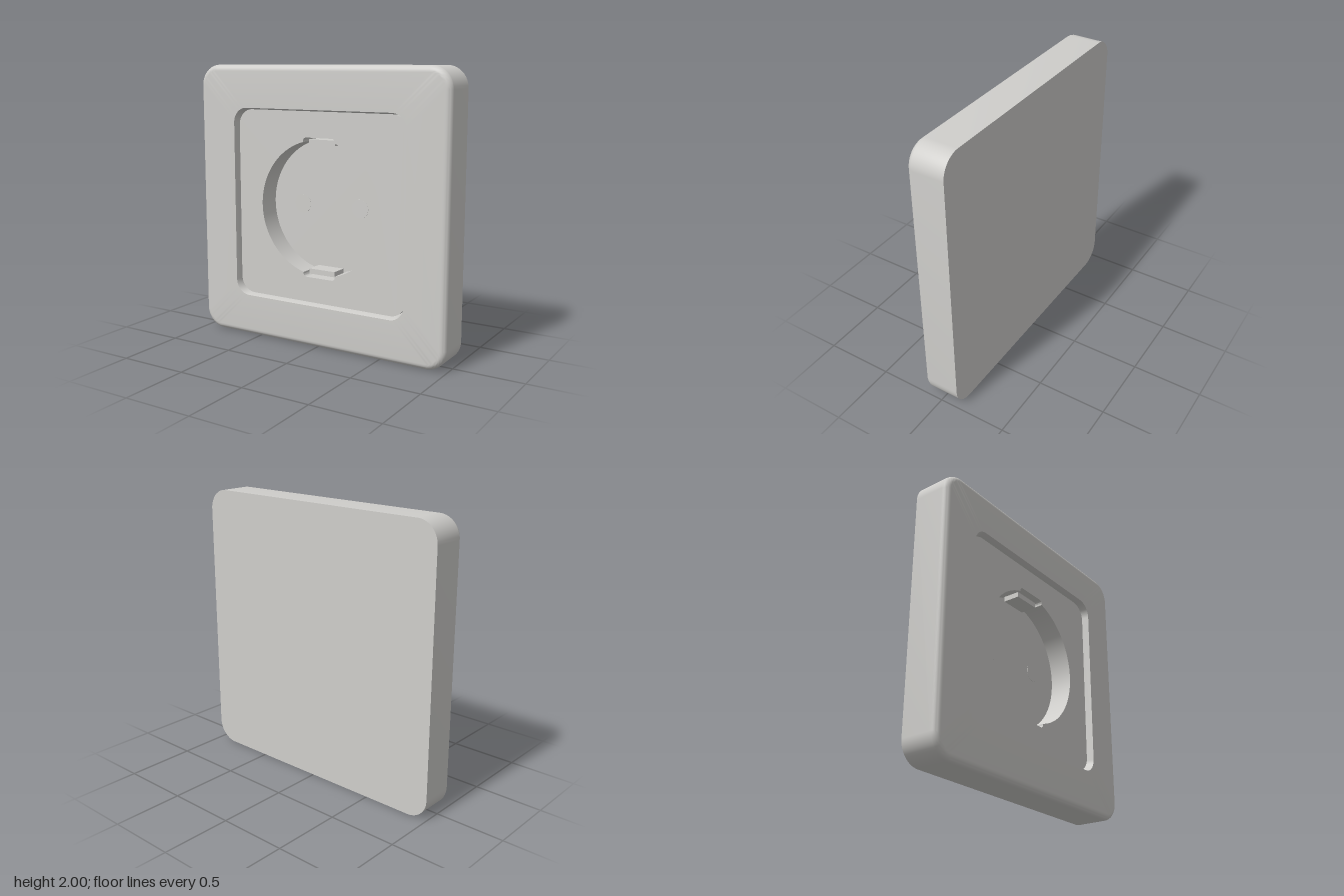
import * as THREE from 'three';
import { toCreasedNormals } from 'three/addons/utils/BufferGeometryUtils.js';

const CORNER_STEPS = 12;

// Counter-clockwise outline of a rounded square with half width h
function roundedSquare(h, r) {
  const pts = [];
  for (let q = 0; q < 4; q++) {
    const mid = Math.PI / 4 + q * Math.PI / 2;
    const cx = Math.sign(Math.cos(mid)) * (h - r);
    const cy = Math.sign(Math.sin(mid)) * (h - r);
    for (let i = 0; i <= CORNER_STEPS; i++) {
      const a = q * Math.PI / 2 + (i / CORNER_STEPS) * Math.PI / 2;
      pts.push(new THREE.Vector2(cx + r * Math.cos(a), cy + r * Math.sin(a)));
    }
  }
  return pts;
}

// Skin over rounded-square sections [half width, corner radius, z]
function loft(sections) {
  const pos = [], idx = [];
  const n = 4 * (CORNER_STEPS + 1);
  sections.forEach(([h, r, z], s) => {
    roundedSquare(h, r).forEach((p, i) => {
      pos.push(p.x, p.y, z);
      if (s === sections.length - 1) return;
      const a = s * n + i, b = s * n + (i + 1) % n;
      idx.push(a, b, b + n, a, b + n, a + n);
    });
  });
  const g = new THREE.BufferGeometry();
  g.setAttribute('position', new THREE.Float32BufferAttribute(pos, 3));
  g.setIndex(idx);
  return toCreasedNormals(g, 0.5);
}

// Round well outline with a rounded notch at top and bottom
function wellPath() {
  const R = 0.485, w = 0.13, top = 0.5, c = 0.025;
  const a = Math.acos(w / R);
  const p = new THREE.Path();
  p.absarc(0, 0, R, -a, a, false);
  p.lineTo(w, top - c);
  p.absarc(w - c, top - c, c, 0, Math.PI / 2, false);
  p.absarc(-w + c, top - c, c, Math.PI / 2, Math.PI, false);
  p.absarc(0, 0, R, Math.PI - a, Math.PI + a, false);
  p.lineTo(-w, -top + c);
  p.absarc(-w + c, -top + c, c, Math.PI, Math.PI * 1.5, false);
  p.absarc(w - c, -top + c, c, Math.PI * 1.5, Math.PI * 2, false);
  p.closePath();
  return p;
}

export function createModel() {
  const group = new THREE.Group();
  const plastic = new THREE.MeshStandardMaterial({ color: 0xcfcecb });
  plastic.name = 'light grey plastic';

  const add = (name, geometry, x = 0, y = 0, z = 0) => {
    const mesh = new THREE.Mesh(geometry, plastic);
    mesh.name = name;
    mesh.position.set(x, 1 + y, z);
    group.add(mesh);
    return mesh;
  };

  const front = 0.135, fillet = 0.045;
  const faceZ = 0.085, floorZ = -0.08;

  // Outer frame: side walls, rounded front edge, flat front, tapered opening
  const sections = [[1, 0.15, -front]];
  for (let i = 0; i <= 8; i++) {
    const a = (i / 8) * Math.PI / 2;
    const inset = fillet * (1 - Math.cos(a));
    sections.push([1 - inset, 0.15 - inset, front - fillet + fillet * Math.sin(a)]);
  }
  sections.push([0.695, 0.11, front], [0.683, 0.098, faceZ], [0.683, 0.098, floorZ]);
  add('frame', loft(sections));

  // Flat back
  const back = new THREE.ShapeGeometry(new THREE.Shape(roundedSquare(1, 0.15)));
  add('backPlate', back, 0, 0, -front).rotation.y = Math.PI;

  // Recessed insert with the well cut through it
  const insertShape = new THREE.Shape(roundedSquare(0.683, 0.115));
  insertShape.holes.push(wellPath());
  const insert = new THREE.ExtrudeGeometry(insertShape, {
    depth: faceZ - floorZ, bevelEnabled: false, curveSegments: 32,
  });
  add('insert', toCreasedNormals(insert, 0.5), 0, 0, floorZ);

  // Well floor
  add('wellFloor', new THREE.BoxGeometry(1.36, 1.36, 0.03), 0, 0, floorZ - 0.015);

  // Contact discs, practically flush with the floor
  for (const side of [-1, 1]) {
    const disc = new THREE.CylinderGeometry(0.067, 0.067, 0.004, 40).rotateX(Math.PI / 2);
    add(side > 0 ? 'leftContact' : 'rightContact', disc, side * 0.237, 0, floorZ);
  }

  // Earth clips at the top and bottom of the well
  const clipFront = 0.044;
  for (const side of [-1, 1]) {
    const clip = new THREE.BoxGeometry(0.21, 0.038, clipFront - floorZ);
    add(side > 0 ? 'topClip' : 'bottomClip', clip, 0, side * 0.466, (clipFront + floorZ) / 2);
  }

  return group;
}
